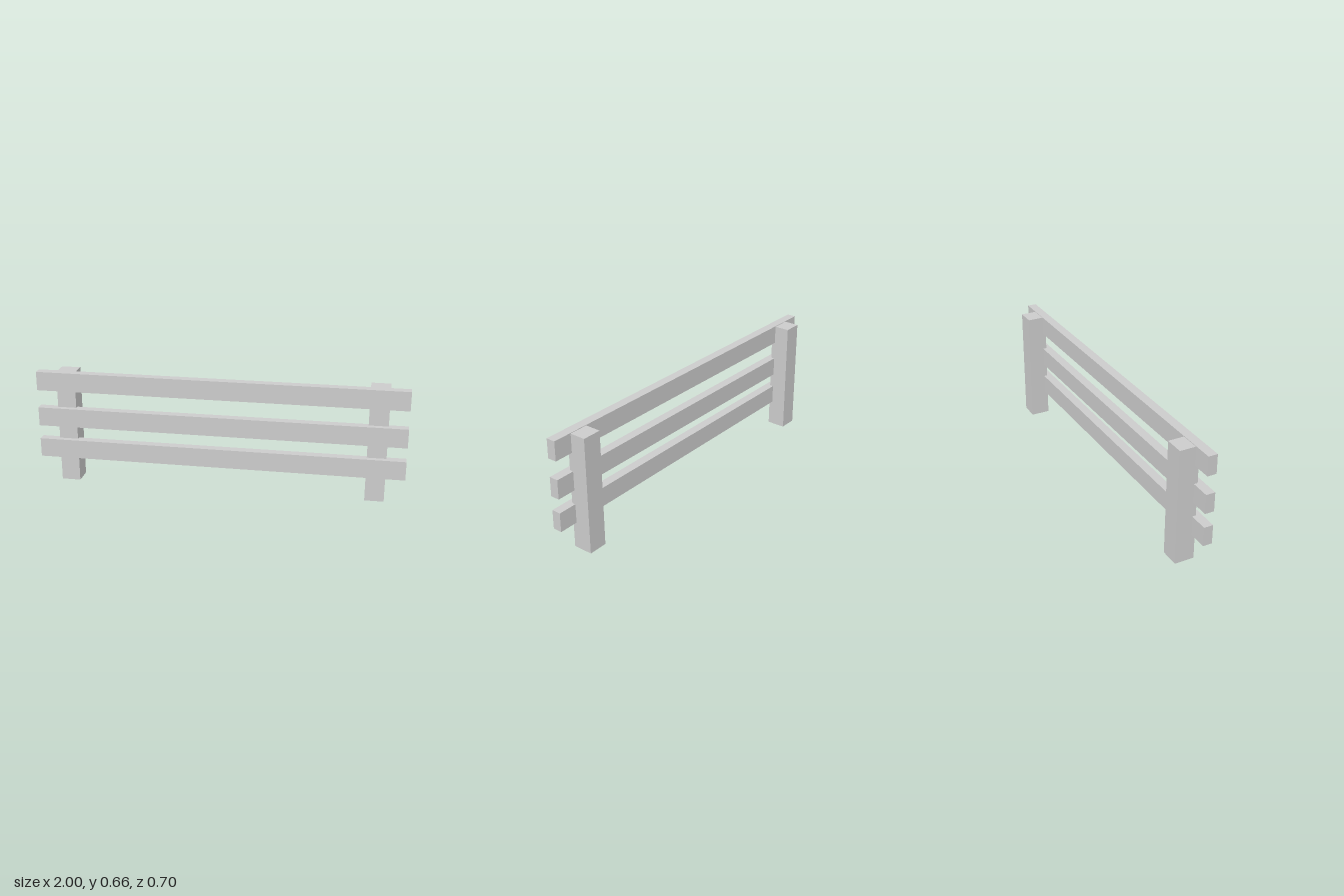
import * as THREE from 'three';

export function createModel() {
  const model = new THREE.Group();
  model.name = 'fence';
  const material = new THREE.MeshStandardMaterial({ color: 0xcccccc, flatShading: true });

  // The whole fence section stands at an angle to the x axis
  const section = new THREE.Group();
  section.name = 'fenceSection';
  section.position.z = 0.028;
  section.rotation.y = -0.291;
  model.add(section);

  const addBeam = (name, size, position) => {
    const mesh = new THREE.Mesh(new THREE.BoxGeometry(...size), material);
    mesh.name = name;
    mesh.position.set(...position);
    section.add(mesh);
  };

  // Three horizontal rails
  const rails = { lowerRail: 0.203, middleRail: 0.391, upperRail: 0.602 };
  for (const [name, y] of Object.entries(rails)) {
    addBeam(name, [2.072, 0.108, 0.051], [0, y, 0]);
  }

  // Two square posts, set partly into the backs of the rails
  const postHeight = 0.653;
  for (const side of [-1, 1]) {
    addBeam(side > 0 ? 'leftPost' : 'rightPost', [0.107, postHeight, 0.109],
      [side * 0.875, postHeight / 2, -0.059]);
  }
  return model;
}
